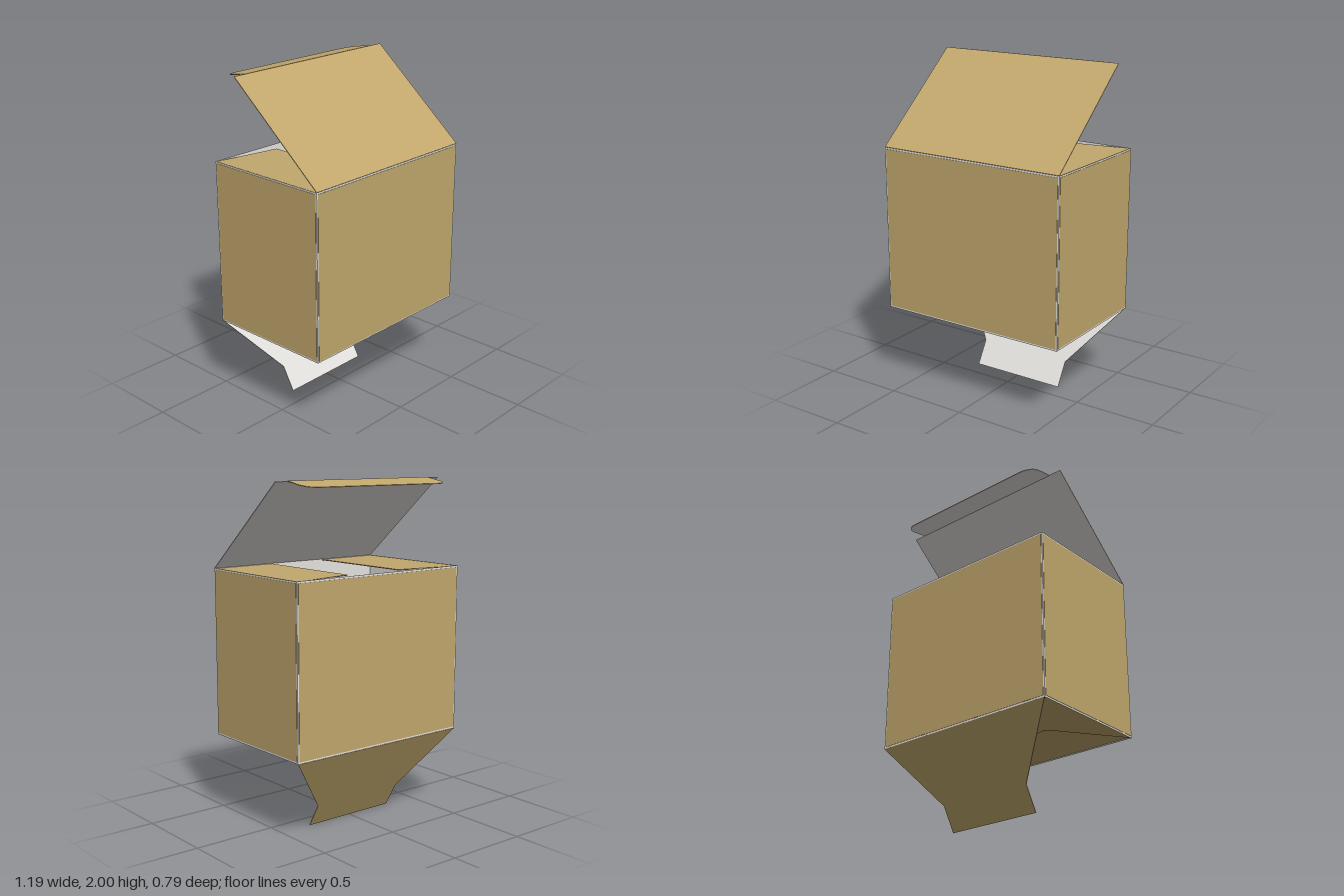
import * as THREE from 'three';

const kraft = new THREE.MeshStandardMaterial({ color: 0xc2a86d });
kraft.name = 'kraftBrown';
const liner = new THREE.MeshStandardMaterial({ color: 0xeeece8 });
liner.name = 'linerWhite';

const W = 0.595, D = 0.393, Y0 = 0.495, Y1 = 1.487;

const poly = (pts) => new THREE.Shape(pts.map(([x, y]) => new THREE.Vector2(x, y)));
const rect = (w, y0, y1) => poly([[-w, y0], [w, y0], [w, y1], [-w, y1]]);
// Mirrors a half outline (hinge to tip, x > 0) across the y axis
const symmetric = (half) => poly([...half, ...half.map(([x, y]) => [-x, y]).reverse()]);

function layer(shape, depth, z, material) {
  const g = new THREE.ExtrudeGeometry(shape, { depth, bevelEnabled: false, curveSegments: 8 });
  g.translate(0, 0, z);
  return new THREE.Mesh(g, material);
}

// Card sheet: local +z is the printed outside, the hinge lies along local x
function board(name, shape, position, yaw, fold = 0, outerShape = shape) {
  const g = new THREE.Group();
  g.name = name;
  const inner = layer(shape, 0.003, -0.003, liner);
  const outer = layer(outerShape, 0.002, 0, kraft);
  inner.name = name + 'Liner';
  outer.name = name + 'Outside';
  g.add(inner, outer);
  g.position.set(...position);
  g.rotation.set(fold, yaw, 0, 'YXZ');
  return g;
}

export function createModel() {
  const box = new THREE.Group();
  box.name = 'openCarton';

  // Four walls, with pale creases left around the printed faces
  const h = Y1 - Y0;
  const wall = (name, w, pos, yaw) =>
    box.add(board(name, rect(w, 0, h), pos, yaw, 0, rect(w - 0.008, 0.01, h - 0.01)));
  wall('frontWall', W, [0, Y0, D], 0);
  wall('backWall', W, [0, Y0, -D], Math.PI);
  wall('rightWall', D, [-W, Y0, 0], -Math.PI / 2);
  wall('leftWall', D, [W, Y0, 0], Math.PI / 2);

  // Raised lid, hinged on the front wall
  const lidFold = -Math.atan2(0.605, 0.51);
  box.add(board('lid', rect(W, 0, 0.791), [0, 1.488, D], 0, lidFold));

  // Tuck flap with rounded corners
  const tuck = new THREE.Shape();
  tuck.moveTo(-0.515, 0);
  tuck.lineTo(0.515, 0);
  tuck.lineTo(0.515, 0.1);
  tuck.quadraticCurveTo(0.51, 0.165, 0.44, 0.173);
  tuck.lineTo(-0.44, 0.173);
  tuck.quadraticCurveTo(-0.51, 0.165, -0.515, 0.1);
  box.add(board('tuckFlap', tuck, [0, 1.998, -0.21], 0, -1.745));

  for (const s of [1, -1]) {
    const side = s > 0 ? 'left' : 'right';
    const yaw = s * Math.PI / 2;

    // Top dust flaps, cut at a slant along the back
    const dust = poly([[-0.387, 0], [0.393, 0], [0.32, 0.405], [-0.385, 0.405]].map(([x, y]) => [s * x, y]));
    box.add(board(side + 'DustFlap', dust, [s * W, 1.483, 0], yaw, -Math.PI / 2));

    // Bottom side flaps, tapered toward the front
    const lower = new THREE.Shape();
    lower.moveTo(-s * 0.39, 0);
    lower.lineTo(s * 0.005, -0.28);
    lower.quadraticCurveTo(s * 0.03, -0.3, s * 0.015, -0.33);
    lower.lineTo(-s * 0.006, -0.4);
    lower.lineTo(-s * 0.006, -0.56);
    lower.lineTo(s * 0.39, -0.56);
    lower.lineTo(s * 0.39, 0);
    box.add(board(side + 'BottomFlap', lower, [s * W, 0.497, 0], yaw, Math.PI / 2));
  }

  // Front bottom flap, notched for the locking tongue
  const notched = symmetric([[0.585, 0], [0.585, -0.4], [0.45, -0.555], [0.3, -0.555], [0.3, -0.4]]);
  box.add(board('frontBottomFlap', notched, [0, 0.503, D], 0, Math.PI / 2));

  // Back bottom flap hanging open, ending in the locking tongue
  const tongue = symmetric([[W, 0], [0.3, -0.41], [0.3, -0.57]]);
  box.add(board('lockingFlap', tongue, [0, Y0, -D], Math.PI, 0.522));

  return box;
}
